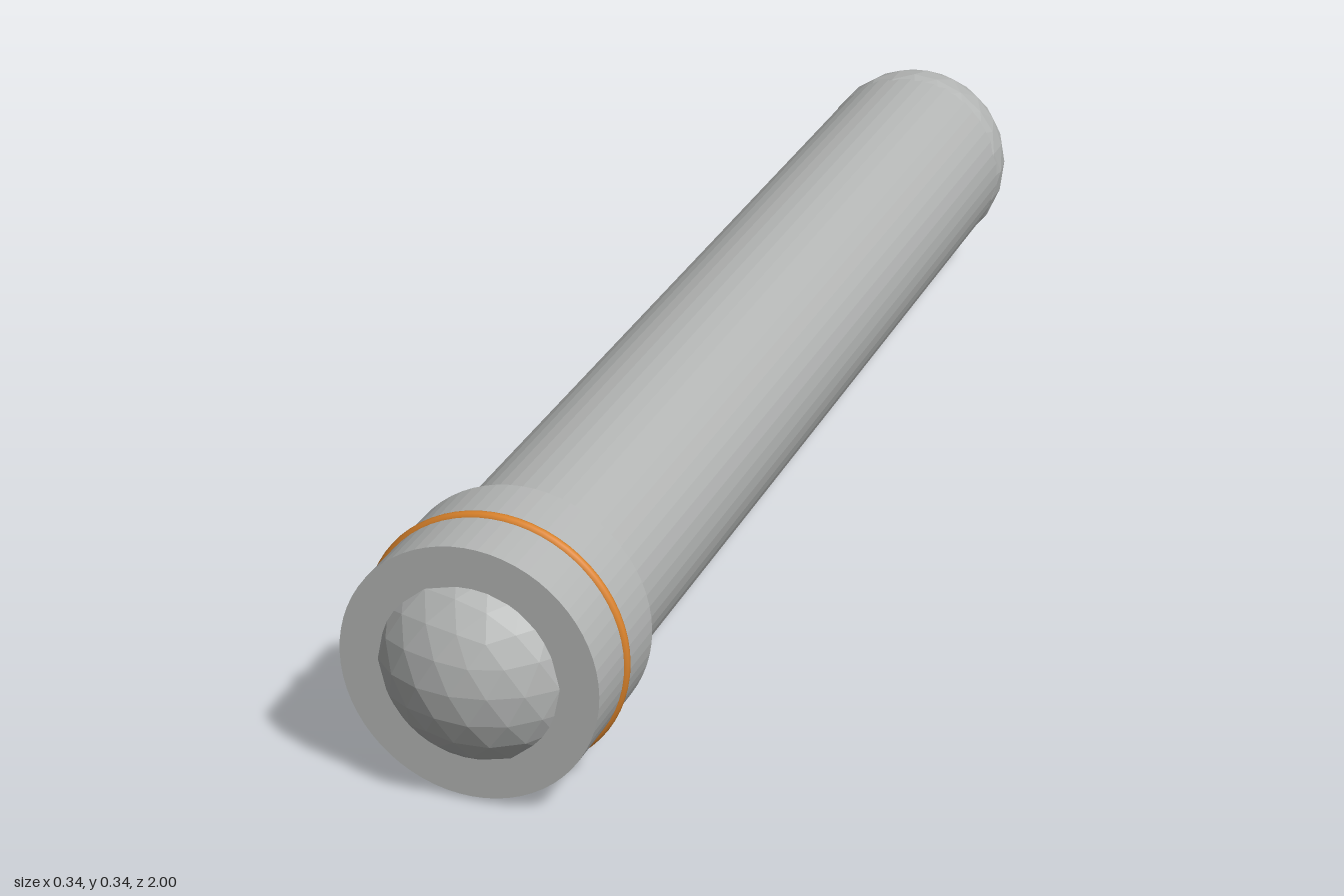
import * as THREE from 'three';

export function createModel() {
  const model = new THREE.Group();
  model.name = 'capsuleRod';
  const grey = new THREE.MeshStandardMaterial({ color: 0xb4b6b5, flatShading: true });
  grey.name = 'grey metal';
  const orange = new THREE.MeshStandardMaterial({ color: 0xd9822b });
  orange.name = 'orange trim';
  const axisY = 0.172;

  const add = (name, geometry, material, z) => {
    const mesh = new THREE.Mesh(geometry, material);
    mesh.name = name;
    mesh.position.set(0, axisY, z);
    model.add(mesh);
  };
  // Cylinder lying along z
  const rod = (radius, length, sides) =>
    new THREE.CylinderGeometry(radius, radius, length, sides).rotateX(Math.PI / 2);
  // Faceted ball with a corner pointing up
  const ball = () =>
    new THREE.IcosahedronGeometry(0.145, 3).rotateZ(-Math.atan(2 / (1 + Math.sqrt(5))));

  // Long shaft with a ball at each end
  add('shaft', rod(0.1425, 1.71, 48), grey, 0);
  add('backBall', ball(), grey, -0.855);
  add('frontBall', ball(), grey, 0.855);

  // Front collar and its thin trim ring
  add('collar', rod(0.1665, 0.176, 64), grey, 0.853);
  add('trimRing', new THREE.TorusGeometry(0.1645, 0.0073, 12, 64), orange, 0.853);

  return model;
}
